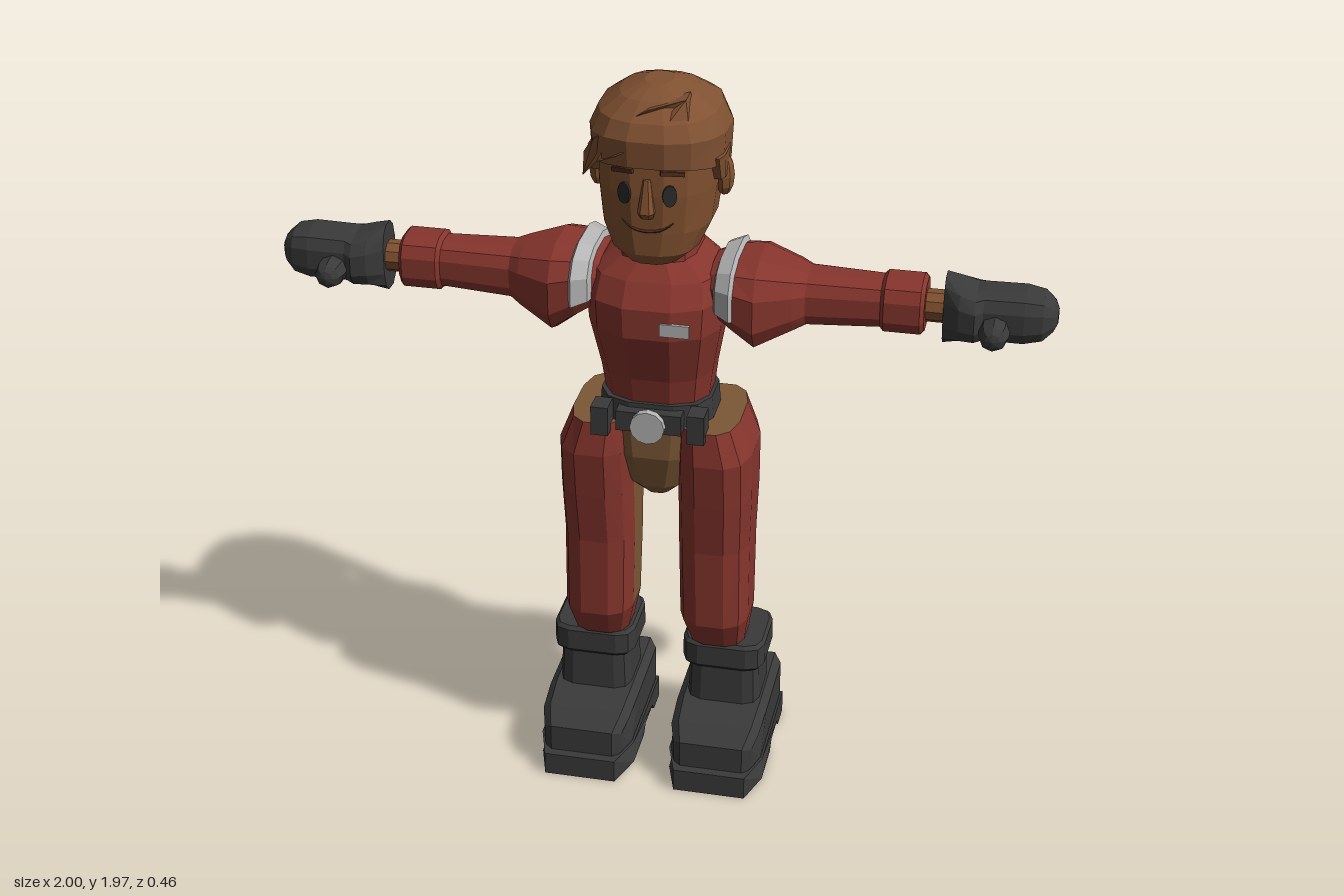
import * as THREE from 'three';

const mat = (name, color) => Object.assign(new THREE.MeshStandardMaterial({ color }), { name });

// Boxy-round horizontal section between two x and two z limits; tilt raises it towards +z
function ring(y, x0, x1, z0, z1, { n = 12, p = 0.7, tilt = 0 } = {}) {
  const norm = Math.cos(Math.PI / n) ** p, pts = [];
  const pow = v => Math.sign(v) * Math.abs(v) ** p / norm;
  for (let j = 0; j < n; j++) {
    const a = (j + 0.5) / n * Math.PI * 2;
    const z = (z0 + z1) / 2 - pow(Math.sin(a)) * (z1 - z0) / 2;
    pts.push(new THREE.Vector3((x0 + x1) / 2 + pow(Math.cos(a)) * (x1 - x0) / 2, y + tilt * z, z));
  }
  return pts;
}

// Faceted skin over rings; pick(face, band) gives the material index, or -1 for no face
function loft(rings, pick = () => 0, capIndex = 0) {
  const lists = [[], []], n = rings[0].length;
  const tri = (m, ...v) => v.forEach(q => lists[m].push(q.x, q.y, q.z));
  for (let i = 0; i < rings.length - 1; i++) for (let j = 0; j < n; j++) {
    const m = pick(j, i), k = (j + 1) % n;
    if (m < 0) continue;
    const a = rings[i][j], b = rings[i][k], c = rings[i + 1][k], d = rings[i + 1][j];
    tri(m, a, b, c); tri(m, a, c, d);
  }
  if (capIndex >= 0) for (const [r, top] of [[rings[0], false], [rings[rings.length - 1], true]]) {
    for (let j = 1; j < n - 1; j++) top ? tri(capIndex, r[0], r[j], r[j + 1]) : tri(capIndex, r[0], r[j + 1], r[j]);
  }
  const g = new THREE.BufferGeometry();
  g.setAttribute('position', new THREE.Float32BufferAttribute(lists.flat(), 3));
  g.addGroup(0, lists[0].length / 3, 0);
  if (lists[1].length) g.addGroup(lists[0].length / 3, lists[1].length / 3, 1);
  g.computeVertexNormals();
  return g;
}

// Loft along +x from rows of [x, bottom, top, half depth]
const armLoft = (rows, pick, cap) =>
  loft(rows.map(([x, b, t, z]) => ring(x, -t, -b, -z, z, { p: 0.75 })), pick, cap).rotateZ(-Math.PI / 2);

function flat(geo) {
  const g = geo.index ? geo.toNonIndexed() : geo;
  g.computeVertexNormals();
  return g;
}

function bend(geo, rule) {
  const g = flat(geo), pos = g.attributes.position, v = new THREE.Vector3();
  for (let i = 0; i < pos.count; i++) {
    rule(v.fromBufferAttribute(pos, i));
    pos.setXYZ(i, v.x, v.y, v.z);
  }
  g.computeVertexNormals();
  return g;
}

// Mirror across x and reverse the corner order
function mirror(geo) {
  const g = flat(geo.clone()), pos = g.attributes.position;
  g.scale(-1, 1, 1);
  const b = new THREE.Vector3(), c = new THREE.Vector3();
  for (let i = 0; i < pos.count; i += 3) {
    b.fromBufferAttribute(pos, i + 1); c.fromBufferAttribute(pos, i + 2);
    pos.setXYZ(i + 1, c.x, c.y, c.z); pos.setXYZ(i + 2, b.x, b.y, b.z);
  }
  g.computeVertexNormals();
  return g;
}

// Side profile of [z, y] points extruded across x, with a narrowed toe
function bootSlab(points, half, bevel) {
  const shape = new THREE.Shape(points.map(([z, y]) => new THREE.Vector2(z, y)));
  const g = new THREE.ExtrudeGeometry(shape, {
    depth: 2 * (half - bevel), bevelEnabled: bevel > 0, bevelSize: bevel, bevelThickness: bevel,
    bevelOffset: -bevel, bevelSegments: 1,
  }).translate(0, 0, bevel - half).rotateY(-Math.PI / 2);
  return bend(g, v => { v.x = v.x * (1 - Math.max(0, v.z - 0.13) * 2.5) + 0.18; });
}

export function createModel() {
  const red = mat('red suit', 0x86352d), dark = mat('charcoal', 0x3a3a3a), silver = mat('silver', 0xb4b4b4);
  const skin = mat('skin', 0x80502f), hair = mat('hair', 0x805132), tan = mat('tan cloth', 0x7c5736);
  const brow = mat('dark brown', 0x4c2c1c), eye = mat('eye', 0x2b2b2d);
  const model = new THREE.Group();
  const add = (name, geo, m) => {
    const mesh = new THREE.Mesh(geo, m);
    mesh.name = name;
    model.add(mesh);
  };
  const pair = (name, geo, m) => { add('left' + name, flat(geo), m); add('right' + name, mirror(geo), m); };
  const box = (w, h, d, x, y, z) => new THREE.BoxGeometry(w, h, d).translate(x, y, z);
  const stack = (rows, o) => rows.map(([y, w, z0, z1]) => ring(y, -w, w, z0, z1, o));

  // Torso, collar and chest badge
  add('torso', loft(stack([[1.08, 0.13, -0.1, 0.11], [1.2, 0.145, -0.11, 0.135], [1.34, 0.17, -0.13, 0.185],
    [1.42, 0.175, -0.14, 0.185], [1.48, 0.165, -0.135, 0.15], [1.525, 0.1, -0.12, 0.11]], { p: 0.8 })), red);
  add('collar', loft(stack([[1.48, 0.105, -0.125, 0.12], [1.555, 0.097, -0.12, 0.11]], { tilt: -0.2 })), red);
  add('neck', flat(new THREE.CylinderGeometry(0.08, 0.08, 0.16, 12).translate(0, 1.54, 0)), skin);
  add('badge', box(0.075, 0.034, 0.009, 0.073, 1.373, 0.186), silver);

  // Belt and buckle
  add('belt', loft(stack([[1.06, 0.15, -0.12, 0.135], [1.13, 0.145, -0.115, 0.13]])), dark);
  add('bucklePlate', box(0.17, 0.055, 0.04, 0, 1.09, 0.14), dark);
  pair('BeltPouch', box(0.045, 0.08, 0.06, 0.125, 1.09, 0.145), dark);
  add('buckle', flat(new THREE.CylinderGeometry(0.045, 0.045, 0.02, 12).rotateX(Math.PI / 2).translate(0, 1.085, 0.168)), silver);

  // Pelvis, tan in front and red behind
  add('pelvis', loft(stack([[0.83, 0.035, -0.06, 0.06], [0.87, 0.075, -0.11, 0.1], [0.97, 0.12, -0.145, 0.13],
    [1.075, 0.14, -0.12, 0.13]]), j => (j >= 6 && j <= 10 ? 1 : 0), 1), [red, tan]);

  // Trouser legs with tan inner panels
  pair('Leg', loft([[0.38, 0.085, 0.235, -0.095, 0.075], [0.47, 0.065, 0.25, -0.1, 0.125], [0.7, 0.06, 0.25, -0.12, 0.13],
    [0.85, 0.06, 0.255, -0.135, 0.15], [0.98, 0.06, 0.255, -0.145, 0.165], [1.07, 0.065, 0.22, -0.135, 0.15]]
    .map(r => ring(...r)), (j, i) => (j === 5 && i > 0 ? 1 : 0), 1), [red, tan]);

  // Boots
  pair('BootCuff', loft([0.3, 0.31, 0.37, 0.38].map((y, i) => {
    const e = i % 3 ? 0 : 0.008;
    return ring(y, 0.068 + e, 0.292 - e, -0.145 + e, 0.07 - e, { p: 0.4 });
  })), dark);
  pair('BootShaft', loft([[0.17, 0.08, 0.28, -0.14, 0.06], [0.305, 0.085, 0.275, -0.135, 0.055]]
    .map(r => ring(...r, { p: 0.4 }))), dark);
  pair('BootUpper', bootSlab([[-0.2, 0.05], [0.13, 0.05], [0.205, 0.05], [0.205, 0.14], [0.15, 0.175],
    [0.05, 0.19], [-0.2, 0.195]], 0.125, 0.02), dark);
  pair('BootSole', bootSlab([[-0.2, 0], [-0.13, 0], [-0.11, 0.025], [-0.02, 0.025], [0, 0], [0.13, 0], [0.23, 0],
    [0.23, 0.065], [0.13, 0.065], [-0.2, 0.065]], 0.13, 0), dark);

  // Sleeves, shoulder stripes, wrists and gloves
  pair('Sleeve', armLoft([[0.14, 1.37, 1.5, 0.1], [0.2, 1.335, 1.52, 0.14], [0.26, 1.29, 1.525, 0.148],
    [0.35, 1.335, 1.5, 0.1], [0.38, 1.35, 1.49, 0.077], [0.58, 1.36, 1.485, 0.065]]), red);
  pair('SleeveCuff', armLoft([[0.565, 1.36, 1.485, 0.065], [0.575, 1.35, 1.495, 0.076], [0.665, 1.35, 1.495, 0.076],
    [0.675, 1.36, 1.485, 0.065]]), red);
  pair('ShoulderStripe', armLoft([[0.155, 1.36, 1.5, 0.11], [0.162, 1.35, 1.52, 0.132], [0.2, 1.33, 1.533, 0.154],
    [0.208, 1.33, 1.52, 0.142]], j => (j >= 2 && j <= 8 ? 0 : -1), -1), silver);
  pair('Wrist', new THREE.CylinderGeometry(0.042, 0.042, 0.1, 10).rotateZ(Math.PI / 2).translate(0.7, 1.42, 0), skin);
  pair('Glove', armLoft([[0.72, 1.33, 1.51, 0.05], [0.76, 1.343, 1.497, 0.078], [0.8, 1.345, 1.485, 0.085],
    [0.82, 1.35, 1.488, 0.072], [0.92, 1.35, 1.49, 0.072], [0.965, 1.36, 1.482, 0.062], [0.99, 1.385, 1.46, 0.042],
    [1, 1.405, 1.44, 0.02]]), dark);
  pair('Thumb', new THREE.CapsuleGeometry(0.038, 0.07, 3, 8).rotateX(Math.PI / 2).translate(0.85, 1.4, 0.065), dark);

  // Head and face
  const round = { n: 16, p: 0.8 };
  add('head', loft(stack([[1.53, 0.07, -0.04, 0.145], [1.56, 0.11, -0.1, 0.162], [1.62, 0.138, -0.15, 0.165],
    [1.72, 0.15, -0.18, 0.17], [1.82, 0.155, -0.18, 0.165], [1.9, 0.11, -0.13, 0.13]], round)), skin);
  add('nose', loft([[1.665, 0.016, 0.14, 0.18], [1.682, 0.021, 0.14, 0.195], [1.765, 0.009, 0.14, 0.176]]
    .map(([y, w, a, b]) => ring(y, -w, w, a, b, { n: 8 }))), skin);
  pair('Ear', new THREE.SphereGeometry(1, 8, 6).scale(0.025, 0.055, 0.035).translate(0.16, 1.725, 0), skin);
  pair('Eye', new THREE.CylinderGeometry(1, 1, 0.009, 12).rotateX(Math.PI / 2).scale(0.018, 0.028, 1)
    .rotateY(0.39).translate(0.056, 1.725, 0.1655), eye);
  pair('Eyebrow', new THREE.BoxGeometry(0.06, 0.011, 0.009).rotateZ(-0.12).rotateY(0.39).translate(0.062, 1.782, 0.161), brow);
  add('mouth', bend(new THREE.TorusGeometry(0.1, 0.004, 4, 14, 1.4).rotateZ(-Math.PI / 2 - 0.7).translate(0, 1.727, 0.166),
    v => { v.z -= 0.4 * Math.max(0, Math.abs(v.x) - 0.035); }), brow);

  // Hair cap with a swept fringe
  add('hairCap', loft([[1.76, 0.165, -0.195, 0.18, 0.2], [1.85, 0.17, -0.2, 0.185, 0.08], [1.905, 0.147, -0.165, 0.165, 0],
    [1.945, 0.095, -0.1, 0.12, 0], [1.97, 0.035, -0.03, 0.06, 0]]
    .map(([y, w, a, b, tilt]) => ring(y, -w, w, a, b, { ...round, tilt }))), hair);
  const fringe = new THREE.Shape([[-0.175, 1.735], [-0.13, 1.79], [-0.07, 1.825], [0.03, 1.88], [0.095, 1.91],
    [0.085, 1.955], [0, 1.935], [-0.08, 1.89], [-0.14, 1.845], [-0.17, 1.8]].map(q => new THREE.Vector2(...q)));
  add('fringe', bend(new THREE.ExtrudeGeometry(fringe, { depth: 0.06, bevelEnabled: false }),
    v => { v.z += 0.136 - 3 * v.x * v.x - 0.55 * Math.max(0, v.y - 1.85); }), hair);
  pair('SideLock', loft([[1.735, 0.135, 0.17, 0, 0.06], [1.8, 0.13, 0.172, -0.04, 0.09]]
    .map(r => ring(...r, { n: 8 }))), hair);

  // Braid with a silver tie
  const bead = (y, r, h) => flat(new THREE.SphereGeometry(1, 8, 6).scale(r, h, r).translate(0, y, -0.192));
  for (let i = 0; i < 7; i++) add('braidBead', bead(1.68 - i * 0.078, 0.037 - i * 0.001, 0.049), hair);
  add('braidTie', flat(new THREE.CylinderGeometry(0.027, 0.027, 0.035, 8).translate(0, 1.15, -0.192)), silver);
  add('braidTip', bead(1.1, 0.031, 0.045), hair);
  return model;
}
